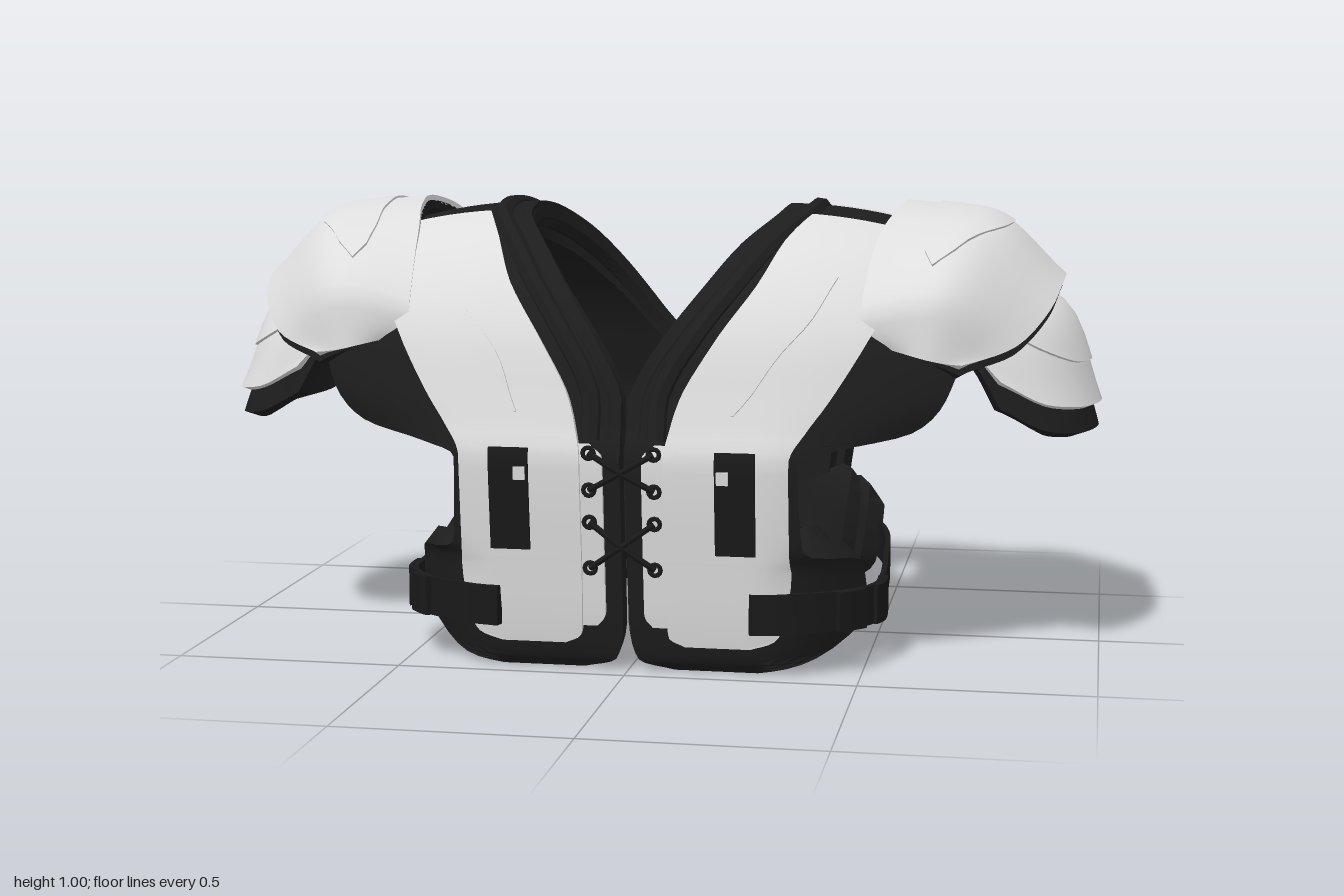
import * as THREE from 'three';
import { toCreasedNormals } from 'three/addons/utils/BufferGeometryUtils.js';

const { lerp, clamp, smoothstep } = THREE.MathUtils;
const V3 = (a) => new THREE.Vector3(...a);

// Smooth blend through rows of numbers without overshoot, t in row units
function blend(rows, t) {
  const n = rows.length;
  t = clamp(t, 0, n - 1);
  const i = Math.min(Math.floor(t), n - 2), w = t - i;
  const slope = (p, q) => (p * q > 0 ? (2 * p * q) / (p + q) : 0);
  return rows[i].map((b, k) => {
    const s = rows[i + 1][k] - b;
    const m0 = slope(i > 0 ? b - rows[i - 1][k] : s, s);
    const m1 = slope(s, i + 2 < n ? rows[i + 2][k] - rows[i + 1][k] : s);
    return b + w * (m0 + w * (3 * s - 2 * m0 - m1 + w * (m0 + m1 - 2 * s)));
  });
}

// Outward normal of a surface f(u, v)
function normalAt(f, u, v, e = 0.01) {
  const du = f(u + e, v).sub(f(u - e, v)), dv = f(u, v + e).sub(f(u, v - e));
  return dv.cross(du).normalize();
}

// Closed slab over a region of surface f; map turns the unit square into that region
function shell(f, map, top, thick, nu, nv) {
  const pos = [], idx = [], W = nv + 1, N = (nu + 1) * W;
  for (const off of [top, top - thick]) {
    for (let i = 0; i <= nu; i++) for (let j = 0; j <= nv; j++) {
      const [u, v] = map(i / nu, j / nv);
      pos.push(...f(u, v).addScaledVector(normalAt(f, u, v), off).toArray());
    }
  }
  const quad = (a, b, c, d) => idx.push(a, b, c, a, c, d);
  for (let i = 0; i < nu; i++) for (let j = 0; j < nv; j++) {
    const a = i * W + j, b = a + 1, c = b + W, d = a + W;
    quad(a, b, c, d);
    quad(N + a, N + d, N + c, N + b);
  }
  for (let i = 0; i < nu; i++) {
    const a = i * W, b = a + W, c = a + nv, d = c + W;
    quad(a, b, N + b, N + a);
    quad(c, N + c, N + d, d);
  }
  for (let j = 0; j < nv; j++) {
    const a = j, c = nu * W + j;
    quad(a, N + a, N + a + 1, a + 1);
    quad(c, c + 1, N + c + 1, N + c);
  }
  const g = new THREE.BufferGeometry();
  g.setAttribute('position', new THREE.Float32BufferAttribute(pos, 3));
  g.setIndex(idx);
  return g;
}

// Body strip from front hem over the shoulder to back hem: y, z, inner x, outer x, wrap
const BODY = [
  [0.005, 0.43, 0.10, 0.28, 6], [0.03, 0.455, 0.025, 0.40, 12], [0.12, 0.475, 0.006, 0.50, 9],
  [0.24, 0.49, 0.006, 0.49, 8], [0.28, 0.495, 0.006, 0.38, 4], [0.47, 0.515, 0.006, 0.37, 3],
  [0.50, 0.51, 0.006, 0.45, 2.5], [0.53, 0.50, 0.006, 0.60, 2], [0.60, 0.48, 0.008, 0.67, 1.4],
  [0.72, 0.445, 0.07, 0.70, 1.2], [0.83, 0.38, 0.15, 0.70, 1], [0.92, 0.28, 0.22, 0.70, 1],
  [0.975, 0.14, 0.28, 0.70, 1], [0.99, 0, 0.29, 0.70, 1], [0.975, -0.14, 0.28, 0.70, 1],
  [0.92, -0.27, 0.23, 0.70, 1], [0.82, -0.39, 0.16, 0.70, 1], [0.70, -0.46, 0.08, 0.68, 1.2],
  [0.60, -0.495, 0.01, 0.62, 1.6], [0.53, -0.515, 0.006, 0.55, 2], [0.48, -0.52, 0.006, 0.42, 3],
  [0.28, -0.515, 0.006, 0.38, 4], [0.24, -0.51, 0.006, 0.48, 8], [0.10, -0.485, 0.006, 0.46, 9],
  [0.04, -0.46, 0.03, 0.38, 12], [0.015, -0.435, 0.10, 0.28, 6],
];
function body(t, x) {
  const [y, z, , , c] = blend(BODY, t);
  const q = Math.max(0, x - 0.28) ** 2;
  return new THREE.Vector3(x, y - 0.45 * q * smoothstep(y, 0.6, 0.95), z * (1 - c * q));
}
// Region of the body given as rows of [t, inner x, outer x]
const region = (rows) => (u, v) => {
  const [t, a, b] = blend(rows, u * (rows.length - 1));
  return [t, lerp(a, b, v)];
};

// Cap surface from half its rows, front tip to middle; each row is inner, mid and outer point
function capSurface(half, back) {
  const rear = half.slice(0, -1).reverse().map((r) => r.map((n, i) => (i % 3 === 2 ? -n * back : n)));
  const rows = [...half, ...rear];
  return (u, v) => {
    const r = blend(rows, u * (rows.length - 1));
    return V3(blend([r.slice(0, 3), r.slice(3, 6), r.slice(6)], v * 2));
  };
}
const upperCap = capSurface([
  [0.56, 0.71, 0.41, 0.63, 0.69, 0.43, 0.70, 0.675, 0.41],
  [0.49, 0.77, 0.41, 0.64, 0.80, 0.42, 0.81, 0.71, 0.33],
  [0.51, 0.925, 0.26, 0.69, 0.93, 0.25, 0.885, 0.79, 0.19],
  [0.54, 0.98, 0.12, 0.73, 0.963, 0.12, 0.90, 0.825, 0.09],
  [0.555, 0.995, 0, 0.74, 0.973, 0, 0.905, 0.835, 0],
], 0.9);
const lowerCap = capSurface([
  [0.62, 0.74, 0.27, 0.71, 0.70, 0.31, 0.78, 0.63, 0.31],
  [0.66, 0.78, 0.26, 0.79, 0.72, 0.28, 0.88, 0.58, 0.28],
  [0.72, 0.82, 0.15, 0.87, 0.74, 0.17, 0.96, 0.565, 0.17],
  [0.76, 0.85, 0, 0.91, 0.765, 0, 0.99, 0.56, 0],
], 0.87);

// Side strap, running from front plate to back plate
const strapPath = new THREE.CatmullRomCurve3([
  [0.27, 0.15, 0.502], [0.36, 0.15, 0.478], [0.46, 0.145, 0.40], [0.52, 0.14, 0.29], [0.525, 0.14, 0.2],
  [0.515, 0.145, 0], [0.495, 0.15, -0.25], [0.46, 0.155, -0.37], [0.40, 0.155, -0.455], [0.33, 0.155, -0.497],
].map(V3));
const strap = (u, v) => strapPath.getPoint(clamp(u, 0, 1)).add(new THREE.Vector3(0, 0.043 - 0.086 * v, 0));

export function createModel() {
  const model = new THREE.Group();
  const mat = (name, color) => Object.assign(new THREE.MeshStandardMaterial({ color }), { name });
  const plate = mat('light grey plate', 0xdedede);
  const flap = mat('mid grey flap', 0xa8a8a8);
  const pad = mat('black padding', 0x1d1d1d);
  const trim = mat('black strap', 0x191919);

  const add = (name, material, geo) => {
    const mesh = new THREE.Mesh(toCreasedNormals(geo, 0.7), material);
    mesh.name = name;
    model.add(mesh);
  };
  // Adds the left part and its mirror image
  const both = (name, material, geo) => {
    const m = geo.clone().scale(-1, 1, 1);
    m.index.array.reverse();
    add(name + 'Left', material, geo);
    add(name + 'Right', material, m);
  };
  const onBody = (name, material, rows, top, thick, nu, nv = 6) =>
    both(name, material, shell(body, region(rows), top, thick, nu, nv));

  // Padding under the plates: outer layer, inset inner cushion and rolled collar edges
  const padRows = (inset) => BODY.map((r, i) => [i, r[2] + inset, r[3] - inset]);
  onBody('bodyPadding', pad, padRows(0), 0, 0.045, 100, 12);
  onBody('innerCushion', pad, padRows(0.022).slice(1, -1), -0.03, 0.055, 100, 12);
  for (const [inset, depth, radius] of [[0.027, -0.03, 0.032], [0.065, -0.008, 0.024]]) {
    const pts = [];
    for (let t = 6.5; t <= 18.5; t += 0.5) {
      const x = blend(BODY, t)[2] + inset;
      pts.push(body(t, x).addScaledVector(normalAt(body, t, x), depth));
    }
    both('collarRoll', pad, new THREE.TubeGeometry(new THREE.CatmullRomCurve3(pts), 48, radius, 8));
  }

  // Chest and back plates
  onBody('chestPlate', plate, [[1.55, 0.13, 0.27], [1.75, 0.095, 0.32], [3, 0.09, 0.35], [5, 0.09, 0.35], [7, 0.1, 0.38],
    [8, 0.12, 0.43], [9, 0.19, 0.5], [10, 0.27, 0.55], [11, 0.32, 0.57], [11.7, 0.36, 0.57]], 0.018, 0.02, 40, 10);
  onBody('backPlate', plate, [[14.3, 0.36, 0.57], [15, 0.33, 0.57], [16, 0.27, 0.55], [17, 0.18, 0.5], [18, 0.13, 0.43],
    [19, 0.115, 0.4], [20.5, 0.11, 0.37], [22, 0.11, 0.35], [23.1, 0.11, 0.33], [23.45, 0.14, 0.28]], 0.018, 0.02, 40, 10);
  onBody('laceFlap', plate, [[1.9, 0.06, 0.11], [2.2, 0.042, 0.11], [5, 0.042, 0.11], [6.2, 0.07, 0.11]], 0.01, 0.012, 16);
  onBody('backFlap', flap, [[18.5, 0.085, 0.13], [19, 0.045, 0.13], [21, 0.042, 0.13], [22.3, 0.045, 0.13], [22.7, 0.075, 0.13]], 0.01, 0.012, 16);

  // Raised ribs and dark slots on the plates
  onBody('chestRib', plate, [[7.6, 0.23, 0.235], [8.6, 0.27, 0.31], [9.4, 0.35, 0.39], [10.2, 0.43, 0.435]], 0.024, 0.01, 12, 2);
  onBody('backRib', plate, [[15.8, 0.43, 0.435], [16.6, 0.35, 0.39], [17.4, 0.27, 0.31], [18.4, 0.23, 0.235]], 0.024, 0.01, 12, 2);
  onBody('chestSlot', trim, [[4, 0.2, 0.285], [5.7, 0.2, 0.285]], 0.026, 0.009, 8, 2);
  onBody('backSlot', trim, [[19, 0.2, 0.28], [21, 0.2, 0.28]], 0.026, 0.009, 8, 2);
  onBody('slotClip', plate, [[4.74, 0.205, 0.23], [4.9, 0.205, 0.23]], 0.032, 0.008, 2, 2);

  // Shoulder caps, each with a black lining and a raised oval
  const whole = (u, v) => [u, v];
  const oval = (v0, v1) => (u, v) => {
    const s = 2 * u - 1, mid = (v0 + v1) / 2, w = (v1 - v0) / 2 * Math.sqrt(1 - s * s);
    return [0.5 + 0.31 * s, mid + w * (2 * v - 1)];
  };
  const dropped = (f, drop) => (u, v) => {
    const p = f(u, v);
    p.y -= drop * clamp(v, 0, 1) ** 2;
    return p;
  };
  both('upperCap', plate, shell(upperCap, whole, 0.006, 0.016, 40, 12));
  both('upperCapRidge', plate, shell(upperCap, oval(0.2, 0.64), 0.011, 0.01, 24, 6));
  both('upperCapLining', pad, shell(dropped(upperCap, 0.016), whole, -0.006, 0.02, 40, 10));
  both('lowerCap', plate, shell(lowerCap, whole, 0.004, 0.014, 32, 12));
  both('lowerCapRidge', plate, shell(lowerCap, oval(0.1, 0.8), 0.01, 0.009, 24, 6));
  both('lowerCapLining', pad, shell(dropped(lowerCap, 0.055), whole, -0.002, 0.035, 32, 10));

  // Side straps with buckles and keepers
  both('sideStrap', trim, shell(strap, whole, 0.006, 0.012, 50, 2));
  for (const [u0, u1, top] of [[0, 0.1, 0.016], [0.2, 0.27, 0.018], [0.31, 0.44, 0.014], [0.94, 1, 0.01]]) {
    both('strapBuckle', trim, shell(strap, (u, v) => [lerp(u0, u1, u), v], top, 0.022, 8, 2));
  }

  // Eyelets and crossed laces
  const front = (x, y) => V3([x, y, 0.495 + 0.07 * (y - 0.2) + 0.014]);
  for (const y of [0.24, 0.34, 0.41, 0.49]) {
    both('eyelet', trim, new THREE.TorusGeometry(0.012, 0.005, 6, 12).translate(...front(0.07, y).toArray()));
  }
  for (const [y0, y1] of [[0.24, 0.34], [0.41, 0.49]]) {
    const path = new THREE.CatmullRomCurve3([front(0.07, y0), front(0, (y0 + y1) / 2).add(V3([0, 0, 0.012])), front(-0.07, y1)]);
    both('lace', trim, new THREE.TubeGeometry(path, 12, 0.007, 6));
  }
  return model;
}
